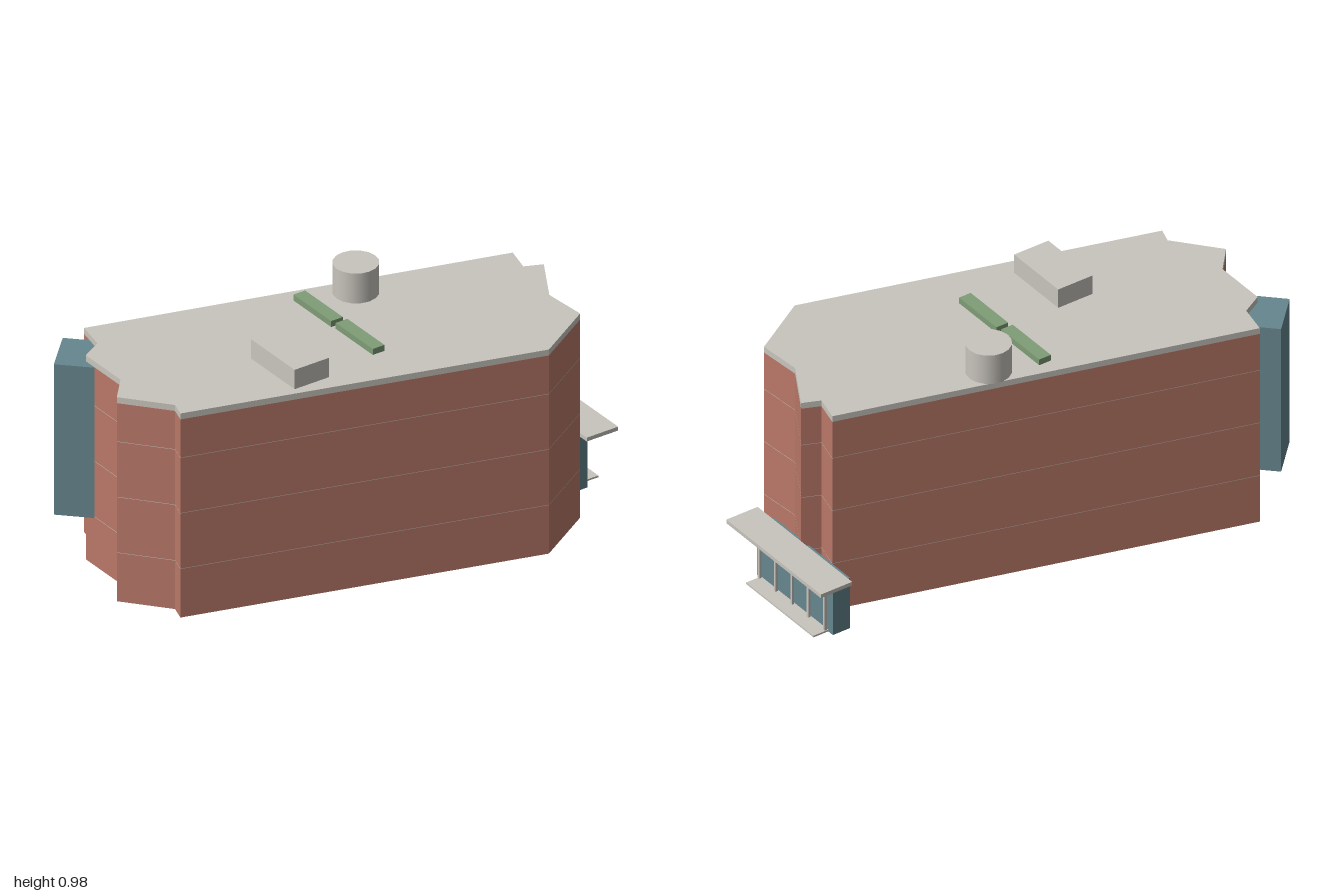
import * as THREE from 'three';

const paint = (name, color) => {
  const m = new THREE.MeshStandardMaterial({ color });
  m.name = name;
  return m;
};

export function createModel() {
  const group = new THREE.Group();
  const brick = paint('brick', 0xb97868);
  const concrete = paint('concrete', 0xc9c5be);
  const glass = paint('teal glass', 0x66868e);
  const green = paint('planting', 0x7f9d76);

  const add = (name, geometry, material) => {
    const mesh = new THREE.Mesh(geometry, material);
    mesh.name = name;
    group.add(mesh);
    return mesh;
  };

  // Upright prism over a plan outline of [x, z] points
  const prism = (name, plan, y0, y1, material) => {
    const shape = new THREE.Shape(plan.map(([x, z]) => new THREE.Vector2(x, -z)));
    const g = new THREE.ExtrudeGeometry(shape, { depth: y1 - y0, bevelEnabled: false });
    g.rotateX(-Math.PI / 2).translate(0, y0, 0);
    return add(name, g, material);
  };

  // Box given by its limits
  const block = (name, [x0, x1], [y0, y1], [z0, z1], material) => {
    const g = new THREE.BoxGeometry(x1 - x0, y1 - y0, z1 - z0);
    g.translate((x0 + x1) / 2, (y0 + y1) / 2, (z0 + z1) / 2);
    return add(name, g, material);
  };

  const footprint = [
    [-0.543, 0.78], [-0.423, 0.805], [-0.376, 0.89], [-0.157, 0.89],
    [-0.06, 0.975], [0.109, 0.835], [0.171, 0.855], [0.561, -0.51],
    [0.411, -0.755], [0.235, -0.742], [0.04, -0.855], [0.01, -0.785], [-0.095, -0.812],
  ];

  // Brick storeys with hairline floor joints flush between them
  const levels = [0, 0.203, 0.436, 0.668, 0.83];
  const joint = 0.002;
  for (let i = 0; i < 4; i++) {
    const base = levels[i] + (i ? joint : 0);
    prism('storey' + (i + 1), footprint, base, levels[i + 1], brick);
    if (i) prism('floorJoint' + i, footprint, levels[i], base, concrete);
  }
  prism('roofSlab', footprint, 0.83, 0.855, concrete);

  // Turned corner bay
  prism('cornerBay', [[-0.564, 0.86], [-0.425, 0.998], [-0.319, 0.892], [-0.458, 0.754]],
    0.2, 0.83, glass);

  // Rooftop equipment and planters
  const tank = new THREE.CylinderGeometry(0.086, 0.086, 0.125, 16);
  add('roofTank', tank, concrete).position.set(-0.189, 0.9175, -0.18);
  block('plantRoom', [-0.01, 0.265], [0.855, 0.936], [0.26, 0.413], concrete);
  block('planterRight', [-0.268, -0.03], [0.855, 0.88], [-0.01, 0.042], green);
  block('planterLeft', [-0.01, 0.224], [0.855, 0.88], [-0.016, 0.036], green);

  // Rear entrance: glazed box, canopy, mullions and step
  block('entranceGlass', [-0.228, 0.246], [0, 0.222], [-0.905, -0.828], glass);
  block('entranceCanopy', [-0.286, 0.304], [0.234, 0.25], [-1, -0.86], concrete);
  for (let i = 0; i < 5; i++) {
    const x = -0.197 + i * 0.102;
    block('mullion' + (i + 1), [x - 0.005, x + 0.005], [0.01, 0.222], [-0.923, -0.913], concrete);
  }
  block('entranceStep', [-0.205, 0.215], [0.005, 0.012], [-0.975, -0.908], concrete);

  return group;
}
